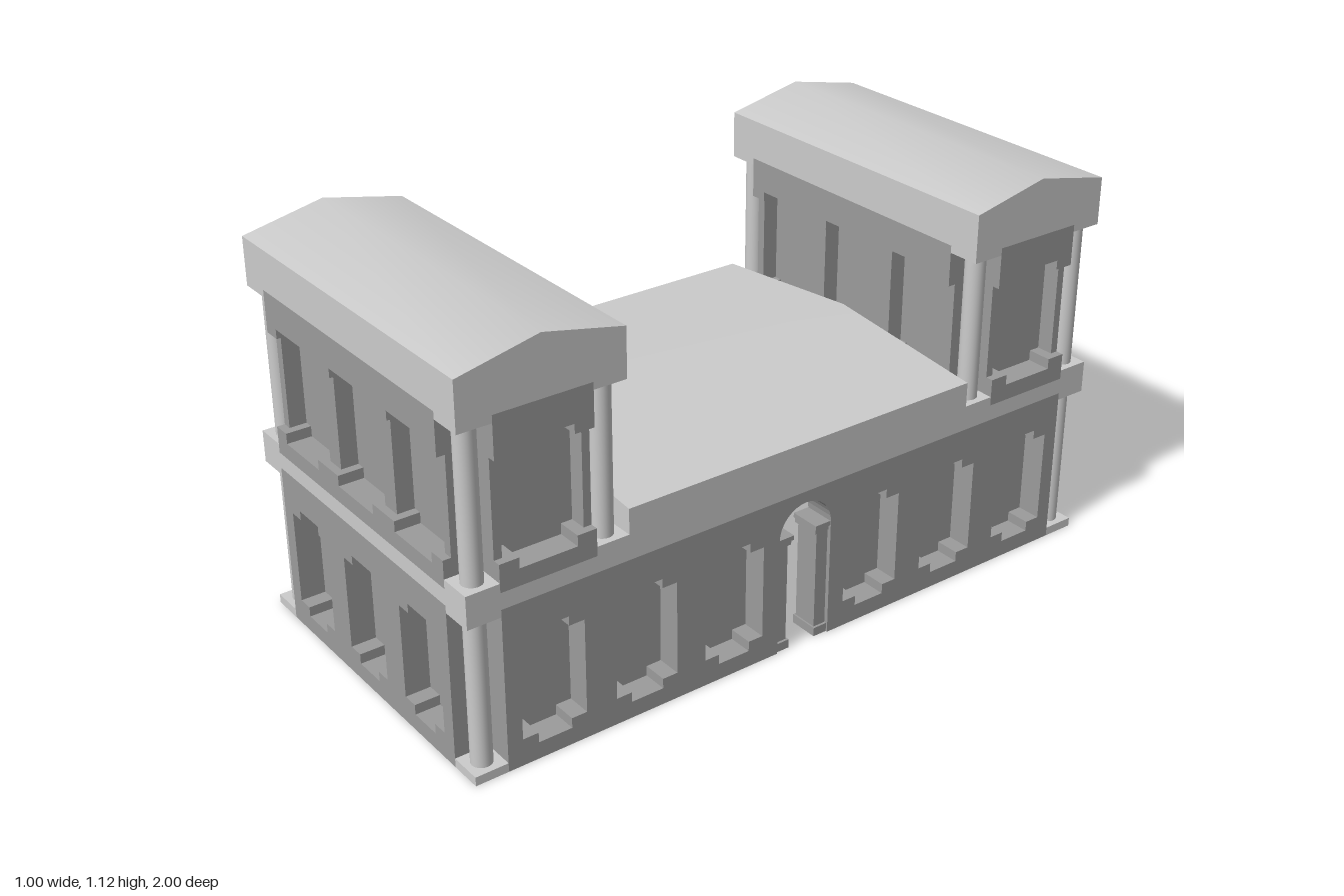
import * as THREE from 'three';

const light = new THREE.MeshStandardMaterial({ color: 0xcccccc });
const lightSheet = new THREE.MeshStandardMaterial({ color: 0xcccccc, side: THREE.DoubleSide });
const stone = new THREE.MeshStandardMaterial({ color: 0x9b9b9b, side: THREE.DoubleSide });

const HX = 0.5, HZ = 1, NOTCH = 0.092;
const TOWER_Z = 0.774, TOWER_HZ = 0.226;
const v2 = (x, y) => new THREE.Vector2(x, y);

function add(parent, name, geometry, material) {
  const mesh = new THREE.Mesh(geometry, material);
  mesh.name = name;
  parent.add(mesh);
  return mesh;
}

// Box given by its limits on each axis
function block(parent, name, [x0, x1], [y0, y1], [z0, z1], material = light) {
  const mesh = add(parent, name, new THREE.BoxGeometry(x1 - x0, y1 - y0, z1 - z0), material);
  mesh.position.set((x0 + x1) / 2, (y0 + y1) / 2, (z0 + z1) / 2);
  return mesh;
}

// Group on the plan line a -> b: local x runs along it, local z points outward
function onLine(parent, name, a, b) {
  const g = new THREE.Group();
  g.name = name;
  g.position.set((a[0] + b[0]) / 2, 0, (a[1] + b[1]) / 2);
  g.rotation.y = Math.atan2(a[1] - b[1], b[0] - a[0]);
  parent.add(g);
  return { g, half: Math.hypot(b[0] - a[0], b[1] - a[1]) / 2 };
}

// Strip of faces running inward from an outline
function reveal(points, depth) {
  const geo = new THREE.PlaneGeometry(1, 1, points.length - 1, 1);
  const n = points.length;
  for (let i = 0; i < n; i++) {
    geo.attributes.position.setXYZ(i, points[i].x, points[i].y, 0);
    geo.attributes.position.setXYZ(i + n, points[i].x, points[i].y, -depth);
  }
  const flat = geo.toNonIndexed();
  flat.computeVertexNormals();
  return flat;
}

// Panel outline with stepped corners
function steppedPanel(c) {
  const w = 0.092, n = 0.048, y0 = 0.047, y1 = 0.075, y2 = 0.34, y3 = 0.366;
  return [[-n, y0], [n, y0], [n, y1], [w, y1], [w, y2], [n, y2],
    [n, y3], [-n, y3], [-n, y2], [-w, y2], [-w, y1], [-n, y1]].map(([x, y]) => v2(c + x, y));
}

// Sheet wall with sunken panels and an optional arched doorway
function lowerWall(parent, name, a, b, niches = [], door = false, y0 = 0, y1 = 0.455) {
  const { g, half } = onLine(parent, name, a, b);
  const arch = [];
  if (door) {
    const r = 0.085;
    arch.push(v2(-r, y0));
    for (let i = 0; i <= 16; i++) {
      const t = Math.PI * (1 - i / 16);
      arch.push(v2(r * Math.cos(t), 0.338 + r * Math.sin(t)));
    }
    arch.push(v2(r, y0));
  }
  const shape = new THREE.Shape([v2(-half, y0), ...arch, v2(half, y0), v2(half, y1), v2(-half, y1)]);
  const depth = 0.07;
  for (const c of niches) {
    const outline = steppedPanel(c);
    shape.holes.push(new THREE.Path(outline));
    add(g, 'panelReveal', reveal([...outline, outline[0]], depth), stone);
    add(g, 'panelBack', new THREE.ShapeGeometry(new THREE.Shape(outline)), stone).position.z = -depth;
  }
  add(g, 'wallFace', new THREE.ShapeGeometry(shape), stone);
  if (door) {
    add(g, 'doorReveal', reveal(arch, 0.09), stone);
    for (const s of [-1, 1]) {
      const span = (p, q) => [Math.min(s * p, s * q), Math.max(s * p, s * q)];
      block(g, 'doorPier', span(0.048, 0.09), [0, 0.31], [-0.085, -0.012], stone);
      block(g, 'doorPierBase', span(0.043, 0.09), [0, 0.025], [-0.09, -0.005], stone);
      block(g, 'doorImpost', span(0.04, 0.09), [0.31, 0.325], [-0.09, -0.008], stone);
      block(g, 'doorImpostCap', span(0.036, 0.09), [0.325, 0.338], [-0.09, -0.002], stone);
    }
  }
}

// Upper wall: notched rails above and below, piers between the sunken panels
function upperWall(parent, name, a, b, centres, panelHalf, notchHalf) {
  const { g, half } = onLine(parent, name, a, b);
  const depth = 0.07, setBack = 0.022;
  const rail = (railName, edge, notch, outer) => {
    const pts = [v2(-half, outer), v2(-half, edge)];
    for (const c of centres) {
      pts.push(v2(c - notchHalf, edge), v2(c - notchHalf, notch), v2(c + notchHalf, notch), v2(c + notchHalf, edge));
    }
    pts.push(v2(half, edge), v2(half, outer));
    const geo = new THREE.ExtrudeGeometry(new THREE.Shape(pts), { depth, bevelEnabled: false });
    add(g, railName, geo, stone).position.z = -depth;
  };
  rail('topRail', 0.84, 0.866, 0.955);
  rail('bottomRail', 0.575, 0.546, 0.5);
  let x = -half;
  for (const c of [...centres, null]) {
    const end = c === null ? half : c - panelHalf;
    block(g, 'pier', [x, end], [0.575, 0.84], [-depth, -setBack], stone);
    x = c + panelHalf;
  }
  const back = add(g, 'panelBack', new THREE.PlaneGeometry(2 * half, 0.455), stone);
  back.position.set(0, 0.7275, -depth);
}

function column(parent, x, z, y0, y1) {
  const geo = new THREE.CylinderGeometry(0.028, 0.028, y1 - y0, 24);
  add(parent, 'column', geo, light).position.set(x, (y0 + y1) / 2, z);
}

// Square plate over or under a column
function plate(parent, name, x, z, y0, y1) {
  const h = NOTCH / 2;
  block(parent, name, [x - h, x + h], [y0, y1], [z - h, z + h]);
}

// Pitched roof: ridge along local z, softly shaded over the ridge
function gable(parent, name, span, length, rise) {
  const g = new THREE.Group();
  g.name = name;
  const slope = new THREE.PlaneGeometry(span, length, 2, 1).rotateX(-Math.PI / 2);
  const p = slope.attributes.position;
  for (let i = 0; i < p.count; i++) if (Math.abs(p.getX(i)) < 1e-6) p.setY(i, rise);
  slope.computeVertexNormals();
  add(g, 'roofSlope', slope, lightSheet);
  const end = new THREE.Shape([v2(-span / 2, 0), v2(span / 2, 0), v2(0, rise)]);
  for (const s of [-1, 1]) add(g, 'gableEnd', new THREE.ShapeGeometry(end), lightSheet).position.z = s * length / 2;
  parent.add(g);
  return g;
}

export function createModel() {
  const model = new THREE.Group();
  model.name = 'building';
  const wx = HX - NOTCH, wz = HZ - NOTCH, cx = HX - NOTCH / 2, cz = HZ - NOTCH / 2;

  // Ground storey
  const ground = new THREE.Group();
  ground.name = 'groundStorey';
  model.add(ground);
  lowerWall(ground, 'frontWall', [-wx, HZ], [wx, HZ], [-0.273, 0, 0.273]);
  lowerWall(ground, 'backWall', [wx, -HZ], [-wx, -HZ], [-0.273, 0, 0.273]);
  lowerWall(ground, 'leftWall', [HX, wz], [HX, -wz], [-0.773, -0.5, -0.228, 0.228, 0.5, 0.773], true);

  // Right side: three bays parted by columns in niches
  const mid = 0.318, h = NOTCH / 2;
  for (const [z0, z1] of [[-wz, -mid - h], [-mid + h, mid - h], [mid + h, wz]]) {
    lowerWall(ground, 'rightWallBay', [-HX, z0], [-HX, z1], [-0.132, 0.132]);
  }
  for (const z of [-mid, mid]) {
    lowerWall(ground, 'columnNiche', [-wx, z - h], [-wx, z + h]);
    for (const s of [-1, 1]) lowerWall(ground, 'columnNiche', [-HX, z + s * h], [-wx, z + s * h]);
    column(ground, -cx, z, 0.025, 0.435);
    plate(ground, 'columnBase', -cx, z, 0, 0.025);
    plate(ground, 'columnCap', -cx, z, 0.435, 0.455);
  }
  for (const sx of [-1, 1]) for (const sz of [-1, 1]) {
    lowerWall(ground, 'cornerNotch', [sx * wx, sz * HZ], [sx * wx, sz * wz]);
    lowerWall(ground, 'cornerNotch', [sx * wx, sz * wz], [sx * HX, sz * wz]);
    column(ground, sx * cx, sz * cz, 0.025, 0.435);
    plate(ground, 'columnBase', sx * cx, sz * cz, 0, 0.025);
    plate(ground, 'columnCap', sx * cx, sz * cz, 0.435, 0.455);
  }

  // Belt course and the low roof between the towers
  block(model, 'beltCourse', [-HX, HX], [0.455, 0.5], [-HZ, HZ]);
  const inner = TOWER_Z - TOWER_HZ;
  block(model, 'middleParapet', [-HX, HX], [0.5, 0.595], [-inner, inner]);
  gable(model, 'middleRoof', 2 * HX, 2 * inner, 0.048).position.y = 0.595;

  // End towers
  for (const s of [-1, 1]) {
    const tower = new THREE.Group();
    tower.name = s > 0 ? 'frontTower' : 'backTower';
    tower.position.z = s * TOWER_Z;
    model.add(tower);
    const tz = TOWER_HZ - NOTCH, bays = [-0.273, 0, 0.273];
    upperWall(tower, 'frontWall', [-wx, TOWER_HZ], [wx, TOWER_HZ], bays, 0.109, 0.085);
    upperWall(tower, 'backWall', [wx, -TOWER_HZ], [-wx, -TOWER_HZ], bays, 0.109, 0.085);
    upperWall(tower, 'leftWall', [HX, tz], [HX, -tz], [0], 0.112, 0.08);
    upperWall(tower, 'rightWall', [-HX, -tz], [-HX, tz], [0], 0.112, 0.08);
    for (const sx of [-1, 1]) for (const sz of [-1, 1]) {
      const x = sx * cx, z = sz * (TOWER_HZ - h), inset = 0.025;
      lowerWall(tower, 'cornerNotch', [sx * wx, sz * (TOWER_HZ - inset)], [sx * wx, sz * tz], [], false, 0.5, 0.955);
      lowerWall(tower, 'cornerNotch', [sx * wx, sz * tz], [sx * (HX - inset), sz * tz], [], false, 0.5, 0.955);
      plate(tower, 'columnBase', x, z, 0.5, 0.525);
      column(tower, x, z, 0.525, 0.935);
      plate(tower, 'columnCap', x, z, 0.935, 0.955);
    }
    block(tower, 'cornice', [-HX, HX], [0.955, 1.068], [-TOWER_HZ, TOWER_HZ]);
    const roof = gable(tower, 'towerRoof', 2 * TOWER_HZ, 2 * HX, 0.048);
    roof.position.y = 1.068;
    roof.rotation.y = Math.PI / 2;
  }
  return model;
}
